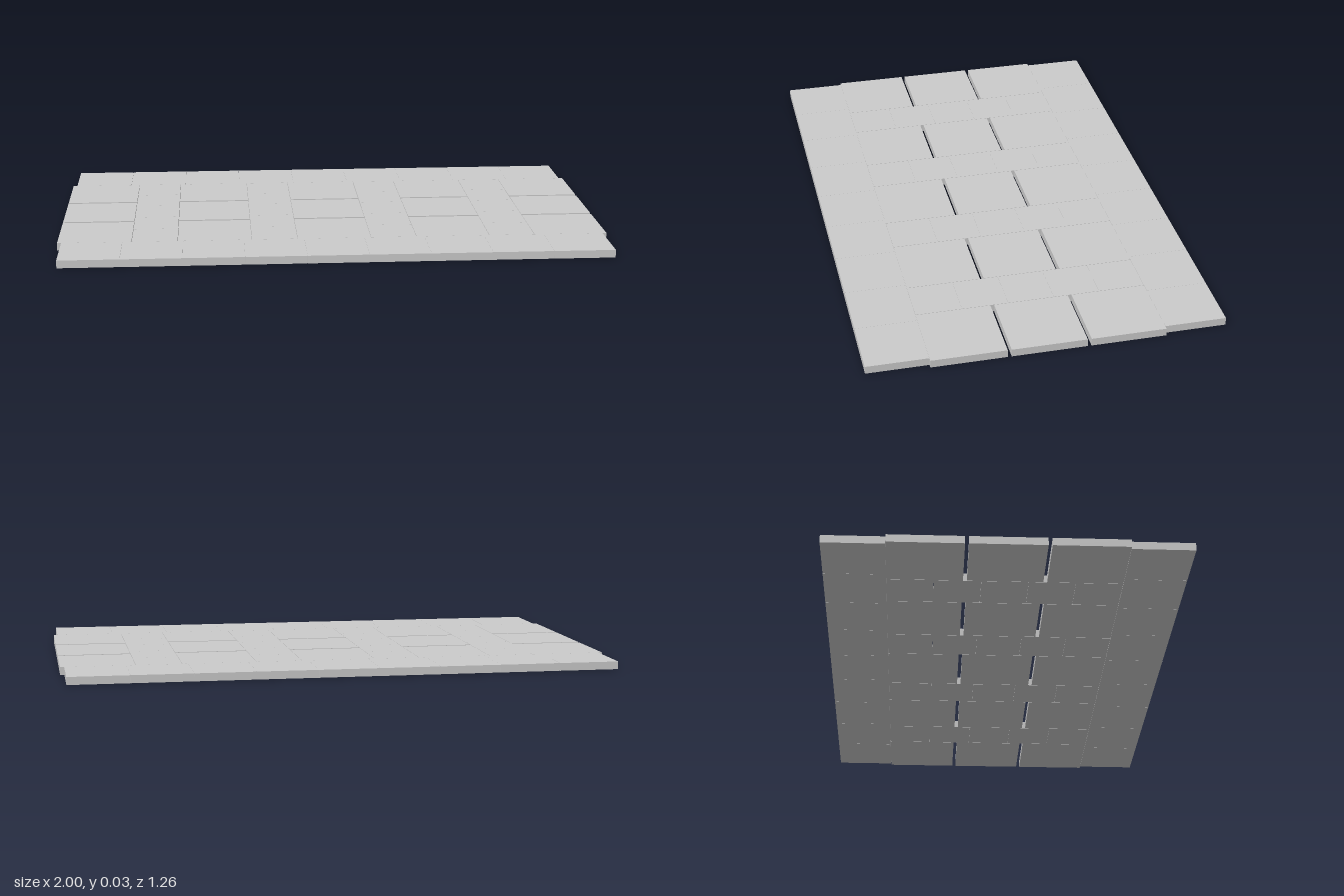
import * as THREE from 'three';

const THICK = 0.028;
const BIG = 0.266, SMALL = 0.1645, EDGE = 0.2185; // square slab sizes
const PITCH = 0.4335;      // spacing of big slab columns
const FIELD = 0.825;       // depth of the field between the border rows

export function createModel() {
  const group = new THREE.Group();
  group.name = 'pavedPatio';
  const material = new THREE.MeshStandardMaterial({ color: 0xcccccc, flatShading: true });

  function slab(name, size, x, z) {
    const mesh = new THREE.Mesh(new THREE.BoxGeometry(size, THICK, size), material);
    mesh.position.set(x, THICK / 2, z);
    mesh.name = name;
    group.add(mesh);
  }

  // Five columns of three large slabs, with open joints between the rows
  for (let c = -2; c <= 2; c++) {
    for (let r = -1; r <= 1; r++) slab('largeSlab', BIG, c * PITCH, r * (FIELD - BIG) / 2);
  }

  // Four columns of five small slabs between them
  for (let c = -1.5; c <= 1.5; c++) {
    for (let r = -2; r <= 2; r++) slab('smallSlab', SMALL, c * PITCH, r * FIELD / 5);
  }

  // Border row of nine slabs at the front and at the back
  for (const side of [-1, 1]) {
    for (let c = -4; c <= 4; c++) {
      slab('borderSlab', EDGE, c * 0.219, side * (FIELD + EDGE + 0.001) / 2);
    }
  }
  return group;
}
